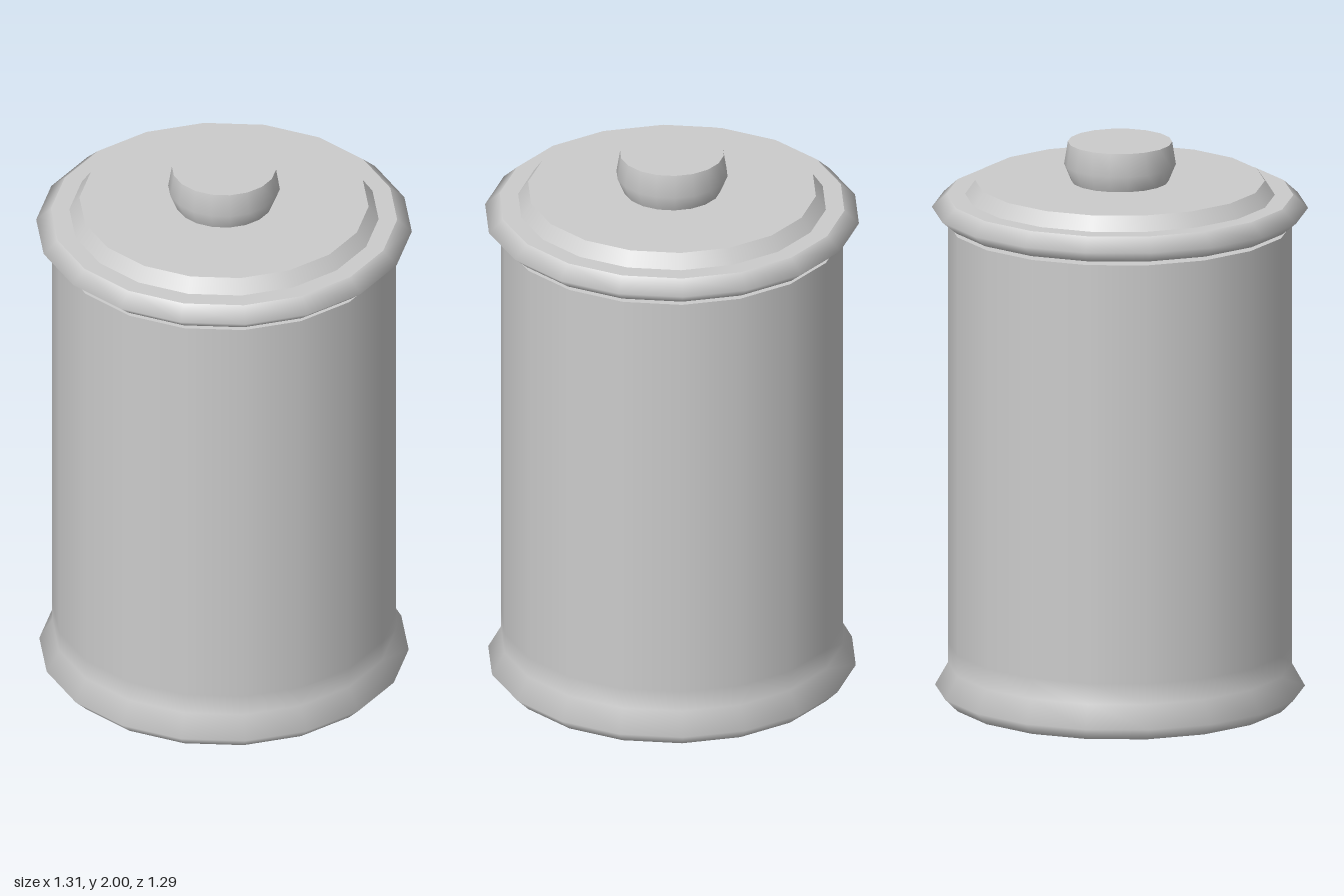
import * as THREE from 'three';

const SIDES = 18;
const material = new THREE.MeshStandardMaterial({ color: 0xcccccc });

// Turned part: each profile is one smooth surface, with sharp edges between profiles.
// Points are [radius, height], running from bottom to top.
function turned(name, ...profiles) {
  const part = new THREE.Group();
  part.name = name;
  profiles.forEach((profile, i) => {
    const points = profile.map(([r, y]) => new THREE.Vector2(r, y));
    const mesh = new THREE.Mesh(new THREE.LatheGeometry(points, SIDES, Math.PI / 2), material);
    mesh.name = `${name}Surface${i + 1}`;
    part.add(mesh);
  });
  return part;
}

export function createModel() {
  const model = new THREE.Group();
  model.name = 'lidded canister';

  // Body with flared foot, flat base and shoulder
  model.add(turned('body',
    [[0, 0], [0.6, 0]],
    [[0.6, 0], [0.645, 0.045], [0.6, 0.125], [0.6, 0.2]],
    [[0.6, 0.2], [0.6, 1.705]],
    [[0.6, 1.705], [0, 1.705]],
  ));

  // Recessed neck between body and lid
  model.add(turned('neck', [[0.54, 1.705], [0.54, 1.72]]));

  // Lid: underside, bulging rim, ledge, bevelled step, top
  model.add(turned('lid',
    [[0, 1.72], [0.605, 1.72]],
    [[0.605, 1.72], [0.656, 1.763], [0.605, 1.81]],
    [[0.605, 1.81], [0.54, 1.81]],
    [[0.54, 1.81], [0.505, 1.86]],
    [[0.505, 1.86], [0, 1.86]],
  ));

  // Knob
  model.add(turned('knob',
    [[0.17, 1.86], [0.195, 1.92], [0.182, 2]],
    [[0.182, 2], [0, 2]],
  ));

  return model;
}
